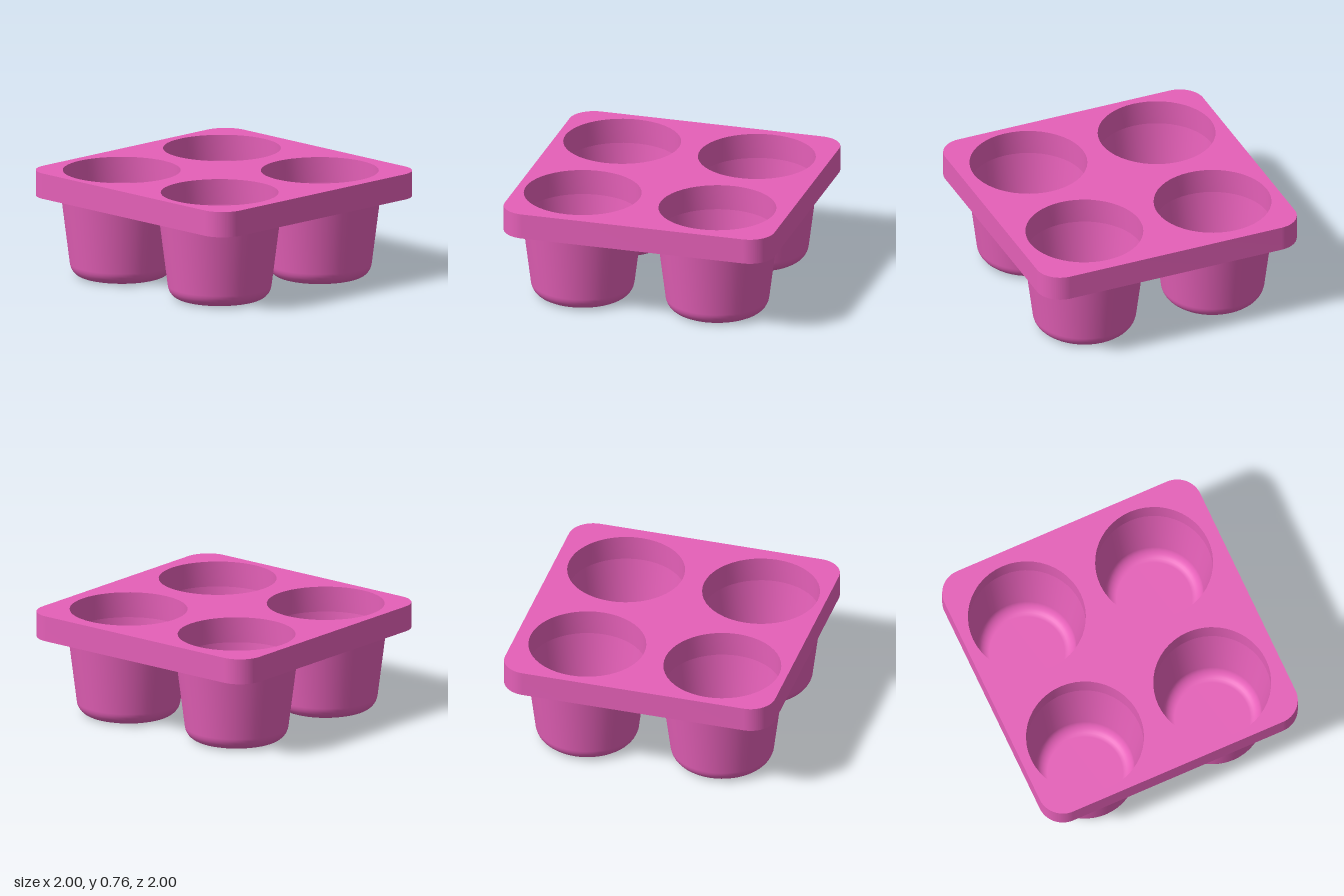
import * as THREE from 'three';
import { toCreasedNormals } from 'three/addons/utils/BufferGeometryUtils.js';

const SLAB_BOTTOM = 0.58, SLAB_TOP = 0.765, HOLE_RADIUS = 0.42, SEGMENTS = 48;
const CENTRES = [];
for (const x of [-0.52, 0.48]) for (const z of [-0.51, 0.485]) CENTRES.push([x, z]);

// Profile from the centre of the floor, round the fillet, up to the rim
function cupProfile(floorY, flatRadius, wallRadius, filletTop, rimRadius) {
  const points = [new THREE.Vector2(0, floorY)];
  const steps = 8;
  for (let i = 0; i <= steps; i++) {
    const a = (i / steps) * Math.PI * 0.46;
    const k = Math.PI * 0.46;
    points.push(new THREE.Vector2(
      flatRadius + (wallRadius - flatRadius) * Math.sin(a) / Math.sin(k),
      floorY + (filletTop - floorY) * (1 - Math.cos(a)) / (1 - Math.cos(k))));
  }
  points.push(new THREE.Vector2(rimRadius, SLAB_BOTTOM));
  return points;
}

// Rounded square plate with four round openings
function slabGeometry() {
  const r = 0.18, c = 1 - r;
  const shape = new THREE.Shape();
  shape.absarc(c, c, r, 0, Math.PI / 2);
  shape.absarc(-c, c, r, Math.PI / 2, Math.PI);
  shape.absarc(-c, -c, r, Math.PI, Math.PI * 1.5);
  shape.absarc(c, -c, r, Math.PI * 1.5, Math.PI * 2);
  shape.closePath();
  for (const [x, z] of CENTRES) {
    const hole = new THREE.Path();
    hole.absarc(x, -z, HOLE_RADIUS, 0, Math.PI * 2, true);
    shape.holes.push(hole);
  }
  const geometry = new THREE.ExtrudeGeometry(shape, {
    depth: SLAB_TOP - SLAB_BOTTOM, bevelEnabled: false, curveSegments: SEGMENTS / 2,
  });
  geometry.rotateX(-Math.PI / 2);
  geometry.translate(0, SLAB_BOTTOM, 0);
  return toCreasedNormals(geometry, 0.6);
}

export function createModel() {
  const model = new THREE.Group();
  model.name = 'fourCupTray';
  const pink = new THREE.MeshStandardMaterial({ color: 0xe560b8 });

  const add = (parent, geometry, name) => {
    const mesh = new THREE.Mesh(geometry, pink);
    mesh.name = name;
    parent.add(mesh);
  };

  add(model, slabGeometry(), 'slab');

  // Thin tapered cups: outer wall, and inner wall facing the cavity
  const outer = new THREE.LatheGeometry(cupProfile(0, 0.28, 0.37, 0.09, 0.432), SEGMENTS);
  const inner = new THREE.LatheGeometry(
    cupProfile(0.02, 0.27, 0.355, 0.105, HOLE_RADIUS).reverse(), SEGMENTS);

  CENTRES.forEach(([x, z], i) => {
    const cup = new THREE.Group();
    cup.name = `cup${i + 1}`;
    cup.position.set(x, 0, z);
    add(cup, outer, 'cupOutside');
    add(cup, inner, 'cupInside');
    model.add(cup);
  });

  return model;
}
